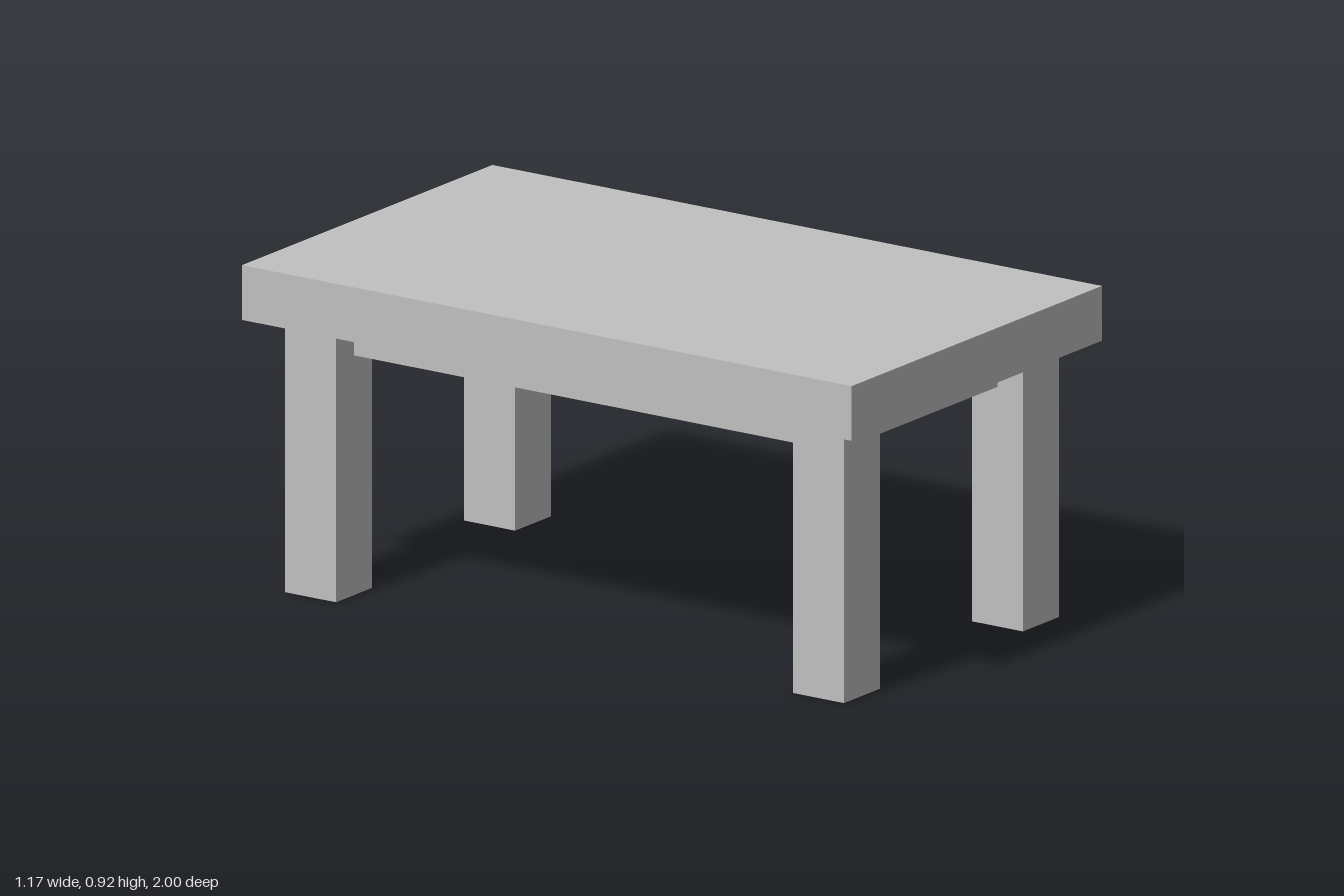
import * as THREE from 'three';

export function createModel() {
  const group = new THREE.Group();
  const grey = new THREE.MeshStandardMaterial({ color: 0xc0c0c0 });
  grey.name = 'light grey';

  const H = 0.92, UNDER = 0.767; // table height and underside of the top

  // Box given by its size and the height of its bottom face
  function box(name, w, h, d, x, bottom, z) {
    const mesh = new THREE.Mesh(new THREE.BoxGeometry(w, h, d), grey);
    mesh.name = name;
    mesh.position.set(x, bottom + h / 2, z);
    group.add(mesh);
  }

  // Thick slab top
  box('tableTop', 1.167, H - UNDER, 2, 0, UNDER, 0);

  // Solid apron under the top, reaching to the leg centres
  box('apron', 0.833, UNDER - 0.67, 1.667, 0, 0.67, 0);

  // Four square legs
  for (const [sx, side] of [[1, 'Left'], [-1, 'Right']]) {
    for (const [sz, end] of [[1, 'front'], [-1, 'back']]) {
      box(`${end}${side}Leg`, 0.167, UNDER, 0.167, sx * 0.417, 0, sz * 0.833);
    }
  }
  return group;
}
